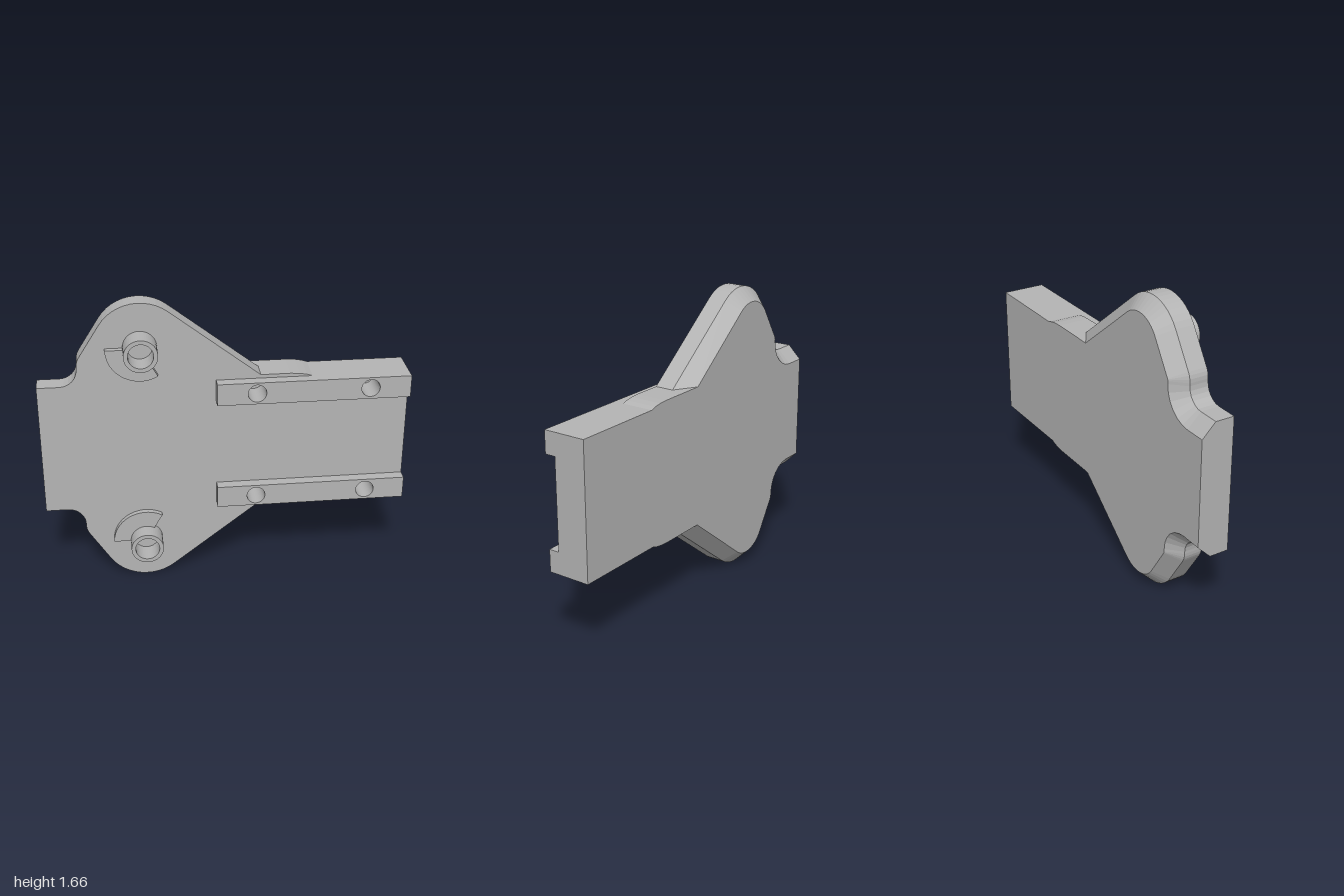
import * as THREE from 'three';

const MID = 0.8325;                       // horizontal mirror line
const FRONT = 0.03, STEP = -0.077, BACK = -0.153;
const HOLE_X = [0.165, 0.78], HOLE_Y = 1.148, HOLE_R = 0.05;
const PEG = [-0.45, 1.42];
const rad = THREE.MathUtils.degToRad;
const flip = (y) => 2 * MID - y;

function arc(cx, cy, r, a0, a1, n) {
  return Array.from({ length: n + 1 }, (_, i) => {
    const a = rad(a0 + ((a1 - a0) * i) / n);
    return new THREE.Vector2(cx + r * Math.cos(a), cy + r * Math.sin(a));
  });
}

// Counter-clockwise plate outline; only the winged section shrinks by d
function outline(d) {
  const p = (x, y) => new THREE.Vector2(x, y);
  const upper = [
    p(-1, 1.21 - d),
    ...arc(-0.88, 1.305, 0.095 + d, -90, 0, 6),
    ...arc(-0.685, 1.32, 0.1 - d, 180, 147, 3),
    ...arc(PEG[0], PEG[1], 0.245 - d, 147, 52, 12),
    p(0.19 - d / Math.cos(rad(52)), 1.23),
    p(0.35, 1.23), p(0.4, 1.227), p(0.44, 1.22), p(0.47, 1.21), p(1, 1.21),
  ];
  const lower = upper.map((v) => p(v.x, flip(v.y)));
  return [...lower, ...upper.reverse()];
}

function extrude(shape, z0, z1) {
  const g = new THREE.ExtrudeGeometry(shape, { depth: z1 - z0, bevelEnabled: false, curveSegments: 24 });
  return g.translate(0, 0, z0);
}

function addHole(shape, x, y, r) {
  shape.holes.push(new THREE.Path().absarc(x, y, r, 0, Math.PI * 2, true));
}

// Sloped band between the two outlines, closed by the back face
function chamferedBack() {
  const a = outline(0), b = outline(STEP - BACK), pos = [];
  const put = (v, z) => pos.push(v.x, v.y, z);
  a.forEach((_, i) => {
    const j = (i + 1) % a.length;
    put(b[i], BACK); put(b[j], BACK); put(a[j], STEP);
    put(b[i], BACK); put(a[j], STEP); put(a[i], STEP);
  });
  for (const [i, j, k] of THREE.ShapeUtils.triangulateShape(b, [])) {
    put(b[i], BACK); put(b[k], BACK); put(b[j], BACK);
  }
  const g = new THREE.BufferGeometry();
  g.setAttribute('position', new THREE.Float32BufferAttribute(pos, 3));
  g.computeVertexNormals();
  return g;
}

export function createModel() {
  const model = new THREE.Group();
  model.name = 'mountingPlate';
  const grey = new THREE.MeshStandardMaterial({ color: 0xb4b4b4 });
  grey.name = 'plainGrey';
  const add = (name, geometry) => {
    const mesh = new THREE.Mesh(geometry, grey);
    mesh.name = name;
    model.add(mesh);
    return mesh;
  };

  // Plate with screw holes
  const plate = new THREE.Shape(outline(0));
  for (const x of HOLE_X) for (const y of [HOLE_Y, flip(HOLE_Y)]) addHole(plate, x, y, HOLE_R);
  add('plateFront', extrude(plate, STEP, FRONT));
  add('plateBack', chamferedBack());

  for (const top of [true, false]) {
    const side = top ? 'upper' : 'lower';
    const my = (y) => (top ? y : flip(y));

    // Rail with two screw holes
    const [y0, y1] = [my(1.085), my(1.21)].sort((a, b) => a - b);
    const rail = new THREE.Shape([[-0.05, y0], [1, y0], [1, y1], [-0.05, y1]].map(([x, y]) => new THREE.Vector2(x, y)));
    for (const x of HOLE_X) {
      addHole(rail, x, my(HOLE_Y), HOLE_R);
      add(side + 'HoleFloor', new THREE.CircleGeometry(HOLE_R, 24)).position.set(x, my(HOLE_Y), STEP + 0.002);
    }
    add(side + 'Rail', extrude(rail, FRONT, 0.09));

    // Hollow peg
    const peg = new THREE.Shape().absarc(PEG[0], my(PEG[1]), 0.09, 0, Math.PI * 2, false);
    addHole(peg, PEG[0], my(PEG[1]), 0.067);
    add(side + 'Peg', extrude(peg, FRONT, 0.153));

    // Raised sector beside the peg
    const dir = top ? 1 : -1;
    const sector = new THREE.Shape([
      ...arc(PEG[0], my(PEG[1]), 0.183, 180, 180 + dir * 120, 14),
      ...arc(PEG[0], my(PEG[1]), 0.088, 180 + dir * 120, 180, 14),
    ]);
    add(side + 'Stop', extrude(sector, FRONT, 0.06));
  }
  return model;
}
